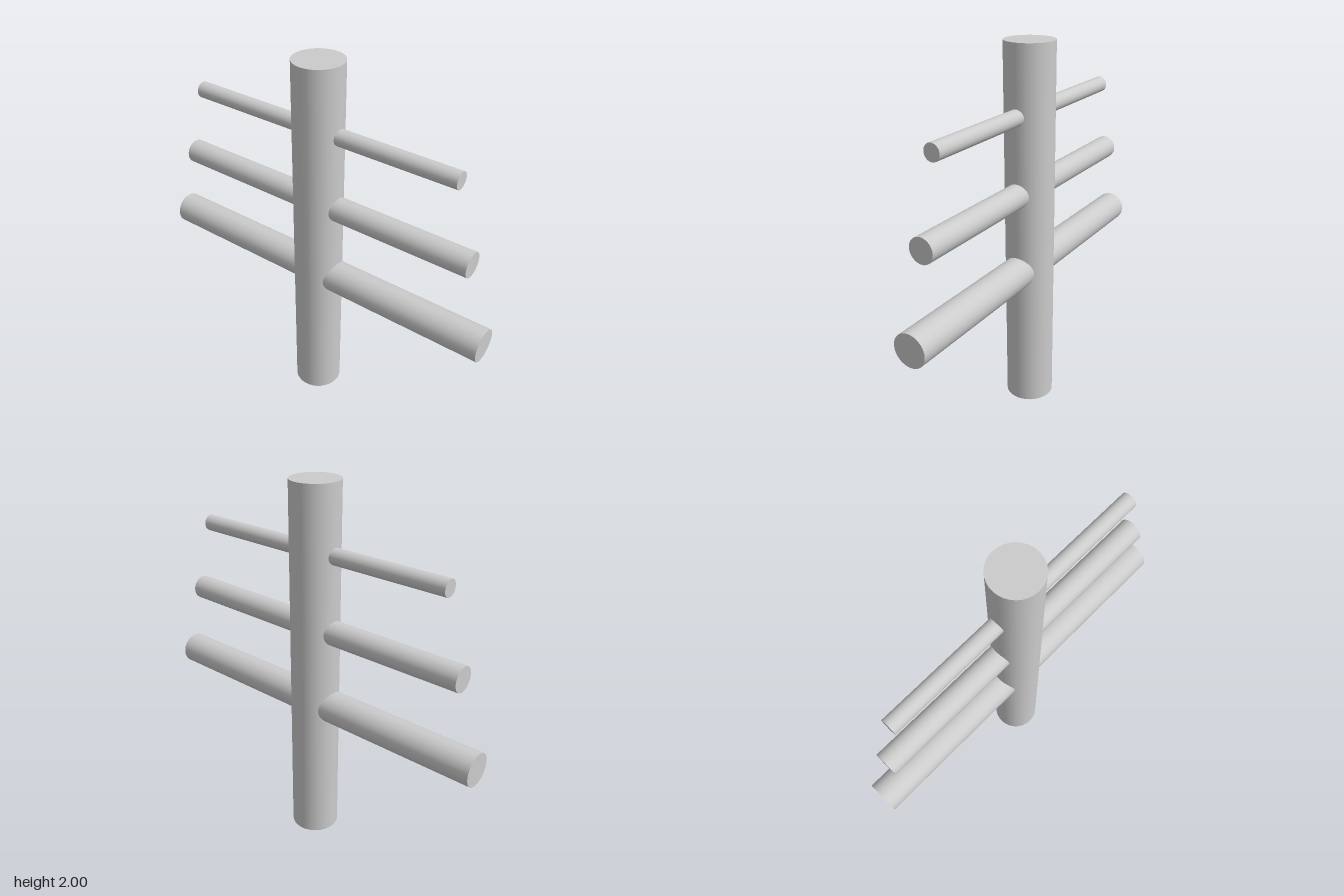
import * as THREE from 'three';

export function createModel() {
  const group = new THREE.Group();
  const material = new THREE.MeshStandardMaterial({ color: 0xcccccc });

  const addRod = (name, radius, length, y) => {
    const mesh = new THREE.Mesh(new THREE.CylinderGeometry(radius, radius, length, 32), material);
    mesh.name = name;
    mesh.position.y = y;
    group.add(mesh);
    return mesh;
  };

  // Upright post
  addRod('post', 0.13, 2, 1);

  // Crossbars running through the post, thinner and shorter towards the top
  const bars = [
    ['lowerCrossbar', 0.087, 2, 0.803],
    ['middleCrossbar', 0.065, 1.76, 1.237],
    ['upperCrossbar', 0.043, 1.545, 1.643],
  ];
  for (const bar of bars) addRod(...bar).rotation.z = Math.PI / 2;

  return group;
}
